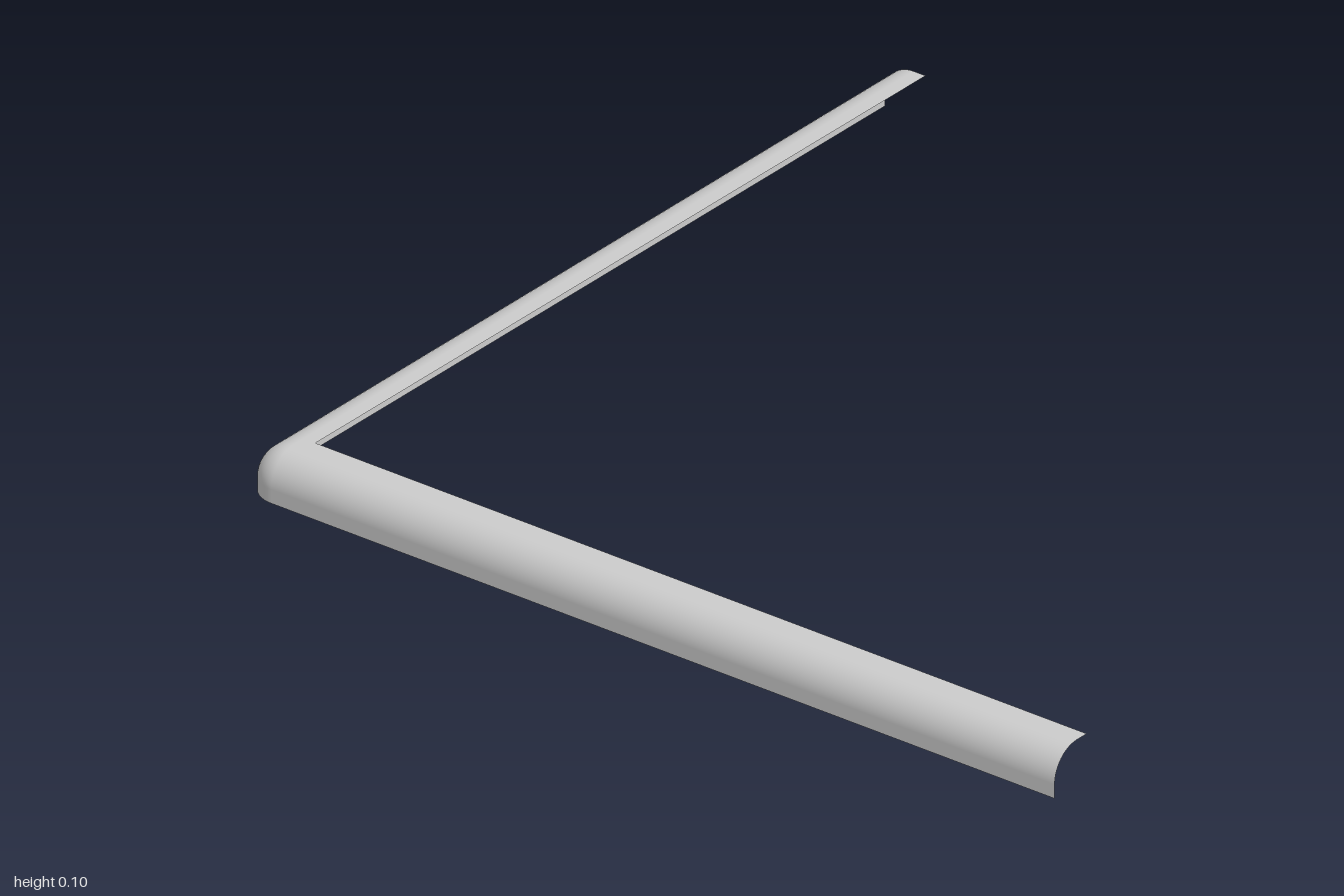
import * as THREE from 'three';

const R = 0.07;      // rounding radius of profile and corner
const H = 0.1;       // trim height
const C = 1 - R;     // corner pivot distance
const INNER = 0.9;   // inner top edge
const STEPS = 12;

// Open cross-section, inner top edge to outer bottom edge:
// d = outward offset from the pivot line, a = elevation of the normal
function makeProfile() {
  const points = [{ inner: true, d: 0, y: H, a: Math.PI / 2 }];
  for (let j = 0; j <= STEPS; j++) {
    const a = (Math.PI / 2) * (1 - j / STEPS);
    points.push({ d: R * Math.cos(a), y: H - R + R * Math.sin(a), a });
  }
  points.push({ d: R, y: 0, a: 0 });
  return points;
}

// Stations along the L: front arm end, rounded corner, side arm end
function makeStations() {
  const stations = [{ t: 0, pivot: [1, C], inner: [1, INNER] }];
  for (let i = 0; i <= STEPS; i++) {
    stations.push({ t: (Math.PI / 2) * (i / STEPS), pivot: [-C, C], inner: [-INNER, INNER] });
  }
  stations.push({ t: Math.PI / 2, pivot: [-C, -1], inner: [-INNER, -1] });
  return stations;
}

function sweepTrim() {
  const profile = makeProfile(), stations = makeStations();
  const pos = [], nor = [], index = [];
  const n = profile.length;
  stations.forEach((s, i) => {
    const nx = -Math.sin(s.t), nz = Math.cos(s.t);
    profile.forEach((p, j) => {
      const [x, z] = p.inner ? s.inner : [s.pivot[0] + nx * p.d, s.pivot[1] + nz * p.d];
      pos.push(x, p.y, z);
      nor.push(nx * Math.cos(p.a), Math.sin(p.a), nz * Math.cos(p.a));
      if (i < stations.length - 1 && j < n - 1) {
        const a = i * n + j, b = a + n;
        index.push(a, b, a + 1, b, b + 1, a + 1);
      }
    });
  });
  const geo = new THREE.BufferGeometry();
  geo.setAttribute('position', new THREE.Float32BufferAttribute(pos, 3));
  geo.setAttribute('normal', new THREE.Float32BufferAttribute(nor, 3));
  geo.setIndex(index);
  return geo;
}

export function createModel() {
  const group = new THREE.Group();
  group.name = 'cornerTrim';
  // Thin rounded edge strip, open below and at both ends
  const material = new THREE.MeshStandardMaterial({ color: 0xcccccc, side: THREE.DoubleSide });
  const trim = new THREE.Mesh(sweepTrim(), material);
  trim.name = 'roundedEdgeStrip';
  group.add(trim);
  return group;
}
